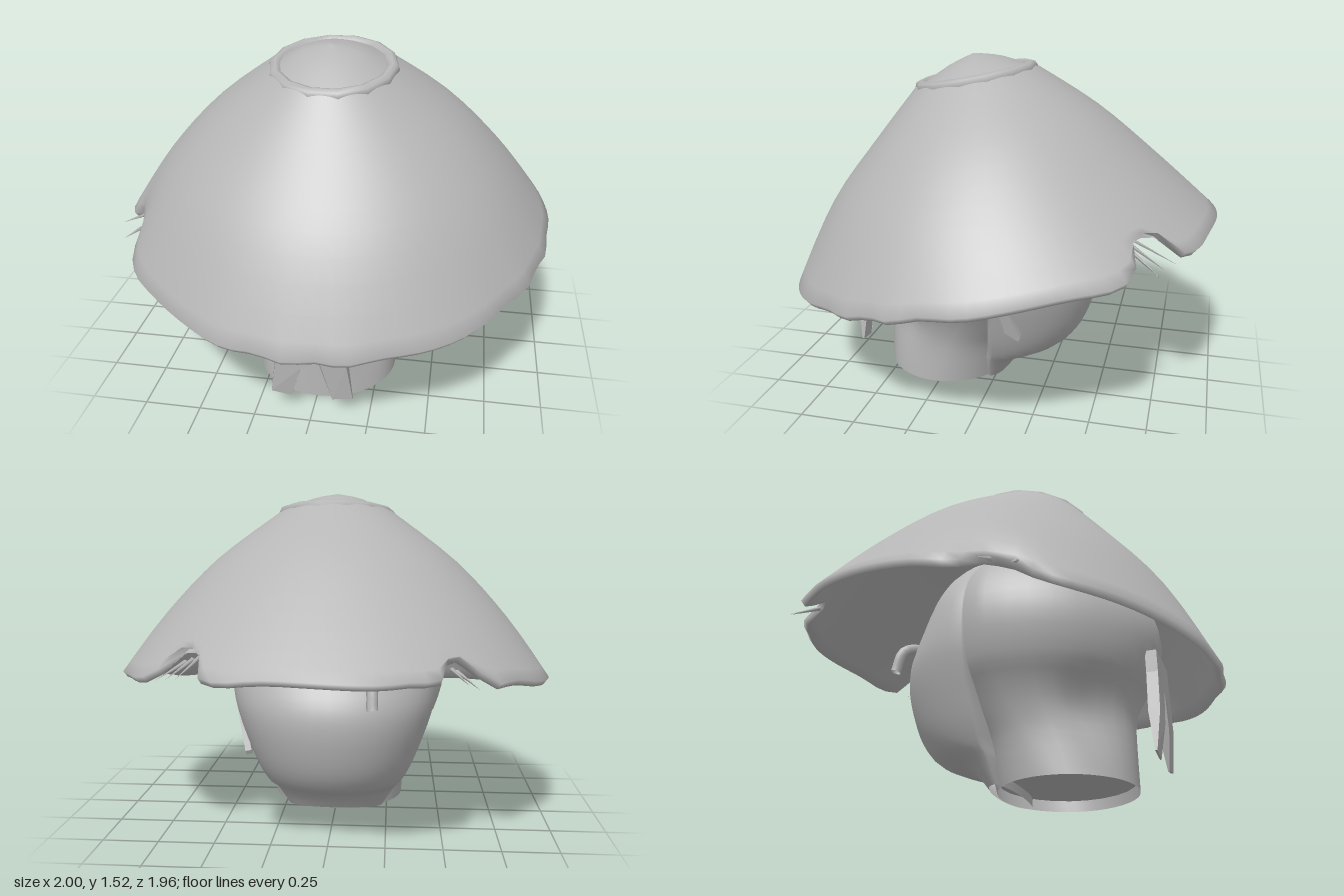
import * as THREE from 'three';

const grey = new THREE.MeshStandardMaterial({ color: 0xb6b6b6, side: THREE.DoubleSide });
grey.name = 'plain grey';

// Smooth a list of number rows by Catmull-Rom interpolation
function refine(rows, n) {
  const out = [];
  for (let i = 0; i < rows.length - 1; i++) {
    const [p, q, r, s] = [-1, 0, 1, 2].map(k => rows[Math.min(Math.max(i + k, 0), rows.length - 1)]);
    for (let k = 0; k < n; k++) {
      const t = k / n;
      out.push(q.map((b, m) => {
        const cubic = 3 * (b - r[m]) + s[m] - p[m];
        const square = 2 * p[m] - 5 * b + 4 * r[m] - s[m];
        return b + 0.5 * t * (r[m] - p[m] + t * (square + t * cubic));
      }));
    }
  }
  out.push(rows[rows.length - 1]);
  return out;
}

// Point on a tilted egg-shaped ring: row = [frontZ, frontY, backZ, backY, halfWidth, middleZ, sideY]
function ringPoint([zf, yf, zb, yb, rx, zc, ys], a) {
  const c = Math.cos(a);
  return [rx * Math.sin(a), ys + (c > 0 ? yf - ys : ys - yb) * c, zc + (c > 0 ? zf - zc : zc - zb) * c];
}

// Skin over rings listed from the top down; point(row, angle, index) places each vertex
function loft(rows, sides, point = ringPoint) {
  const pos = [], index = [];
  rows.forEach((row, i) => {
    for (let j = 0; j < sides; j++) {
      pos.push(...point(row, j / sides * Math.PI * 2, i));
      if (i === rows.length - 1) continue;
      const a = i * sides + j, b = i * sides + (j + 1) % sides;
      index.push(a, a + sides, b + sides, a, b + sides, b);
    }
  });
  const g = new THREE.BufferGeometry();
  g.setAttribute('position', new THREE.Float32BufferAttribute(pos, 3));
  g.setIndex(index);
  g.computeVertexNormals();
  return g;
}

export function createModel() {
  const model = new THREE.Group();
  const add = (name, geometry, parent = model) => {
    const mesh = new THREE.Mesh(geometry, grey);
    mesh.name = name;
    parent.add(mesh);
    return mesh;
  };

  // Wide tilted hat, with three torn notches and a ragged rim
  const hat = new THREE.Group();
  hat.name = 'strawHat';
  model.add(hat);
  const outer = refine([
    [0.40, 1.385, -0.12, 1.48, 0.27, 0.14, 1.425],
    [0.60, 1.125, -0.43, 1.285, 0.57, 0.09, 1.195],
    [0.80, 0.85, -0.72, 1.05, 0.80, 0.04, 0.95],
    [0.985, 0.475, -0.985, 0.82, 1.0, 0, 0.67],
  ], 4);
  const inner = outer.map(([zf, yf, zb, yb, rx, zc, ys]) =>
    [zf - 0.02, yf - 0.025, zb + 0.02, yb - 0.025, rx - 0.02, zc, ys - 0.025]).reverse();
  const notches = [[2.5, 0.14, 0.11], [-2.54, 0.09, 0.1], [-1.25, 0.09, 0.12]];
  const last = outer.length - 1;
  const tornPoint = (row, a, i) => {
    const level = i <= last ? i : 2 * last + 1 - i;
    const p = ringPoint(row, a);
    const edge = Math.max(0, (level - last + 4) / 4) ** 2;
    let cut = 0.006 * (1 + Math.sin(a * 17 + Math.sin(a * 5) * 2)) * edge;
    for (const [at, depth, width] of notches) {
      const d = Math.atan2(Math.sin(a - at), Math.cos(a - at)) / width;
      cut += depth * Math.exp(-(d ** 4)) * edge;
    }
    return [p[0] * (1 - cut), p[1] + cut * 0.9, p[2] * (1 - cut)];
  };
  add('hatShell', loft([...outer, ...inner], 90, tornPoint), hat);

  // Low crown and the rolled band around it
  add('hatCrown', loft(refine([
    [0.15, 1.52, 0.13, 1.52, 0.001, 0.14, 1.52],
    [0.26, 1.465, 0.01, 1.505, 0.13, 0.14, 1.49],
    [0.38, 1.38, -0.10, 1.47, 0.25, 0.14, 1.42],
  ], 3), 32), hat);
  const band = add('crownBand', new THREE.TorusGeometry(0.256, 0.03, 8, 14), hat);
  band.position.set(0.005, 1.415, 0.137);
  band.rotation.x = Math.PI / 2 + 0.19;

  // Loose straws sticking out of the notches: base, then tip
  for (const [from, to] of [
    [[0.50, 0.86, -0.66], [0.56, 0.80, -0.83]], [[0.53, 0.85, -0.65], [0.61, 0.79, -0.79]],
    [[0.56, 0.84, -0.65], [0.66, 0.78, -0.77]], [[-0.50, 0.84, -0.74], [-0.56, 0.80, -0.86]],
    [[-0.52, 0.83, -0.73], [-0.60, 0.78, -0.83]], [[-0.87, 0.69, 0.25], [-1.0, 0.63, 0.24]],
    [[-0.86, 0.67, 0.35], [-0.95, 0.61, 0.36]],
  ]) {
    const a = new THREE.Vector3(...from), b = new THREE.Vector3(...to);
    const dir = b.clone().sub(a);
    const straw = add('looseStraw', new THREE.ConeGeometry(0.009, dir.length(), 4), hat);
    straw.position.copy(a).add(b).multiplyScalar(0.5);
    straw.quaternion.setFromUnitVectors(new THREE.Vector3(0, 1, 0), dir.normalize());
  }

  // Head and hair: level rows of [y, frontZ, backZ, halfWidth, middleZ]
  const level = rows => refine(rows.map(([y, zf, zb, rx, zc]) => [zf, y, zb, y, rx, zc, y]), 3);
  const facePoint = (row, a) => {
    const p = ringPoint(row, a);
    // Sunken cheeks either side of the face
    const turn = (Math.acos(Math.cos(a)) - 0.8) / 0.3;
    const rise = (p[1] - 0.28) / 0.14;
    const dent = 0.05 * Math.exp(-(turn ** 2 + rise ** 2));
    return [p[0] * (1 - dent), p[1], p[2] - dent];
  };
  add('head', loft(level([
    [1.17, 0.13, 0.11, 0.001, 0.12], [1.11, 0.36, -0.04, 0.24, 0.12], [0.98, 0.56, -0.14, 0.41, 0.1],
    [0.82, 0.68, -0.2, 0.50, 0.08], [0.66, 0.72, -0.22, 0.52, 0.08], [0.50, 0.68, -0.22, 0.48, 0.08],
    [0.40, 0.62, -0.2, 0.42, 0.1], [0.30, 0.585, -0.16, 0.37, 0.14], [0.18, 0.58, -0.08, 0.335, 0.2],
    [0, 0.58, -0.03, 0.325, 0.27],
  ]), 40, facePoint));
  add('hair', loft(level([
    [1.16, -0.02, -0.06, 0.001, -0.04], [1.1, 0.02, -0.16, 0.2, -0.04], [0.97, 0.03, -0.27, 0.36, -0.04],
    [0.84, 0.03, -0.33, 0.45, -0.04], [0.72, 0.03, -0.38, 0.48, -0.04], [0.60, 0.03, -0.44, 0.48, -0.04],
    [0.50, 0.03, -0.455, 0.46, -0.04], [0.38, 0.03, -0.435, 0.42, -0.04], [0.26, 0.04, -0.39, 0.375, -0.03],
    [0.17, 0.05, -0.31, 0.33, -0.02], [0.11, 0.06, -0.14, 0.29, 0], [0.01, 0.06, -0.05, 0.23, 0.02],
  ]), 40));

  // Recessed plate closing the neck
  const base = add('neckPlate', new THREE.CircleGeometry(1, 24));
  base.scale.set(0.32, 0.3, 1);
  base.position.set(0, 0.05, 0.27);
  base.rotation.x = Math.PI / 2;

  // Ribbon ends hanging in front, thinning towards the tip
  for (const side of [-1, 1]) {
    const shape = new THREE.Shape([[0, 0.56], [0.13, 0.56], [0.13, 0.46], [0.155, 0.28], [0.18, 0.10],
      [0.09, 0.085], [0.045, 0.25], [0, 0.42]].map(([x, y]) => new THREE.Vector2(x * side, y)));
    const geometry = new THREE.ExtrudeGeometry(shape, { depth: 0.05, bevelEnabled: false });
    const p = geometry.attributes.position;
    for (let i = 0; i < p.count; i++) {
      const taper = Math.min(1, (p.getY(i) - 0.06) / 0.2);
      p.setZ(i, 0.695 + (p.getZ(i) - 0.025) * taper);
    }
    geometry.computeVertexNormals();
    add('ribbonEnd', geometry);
  }

  // Pointed lock of hair lying against the left cheek
  const lock = new THREE.Shape([[0.04, 0.68], [0.10, 0.36], [0.16, 0.32], [0.17, 0.34], [0.09, 0.56], [0.05, 0.68]]
    .map(([x, y]) => new THREE.Vector2(x, y)));
  const lockMesh = add('sideLock', new THREE.ExtrudeGeometry(lock, { depth: 0.03, bevelEnabled: false }));
  lockMesh.position.x = 0.305;
  lockMesh.rotation.set(0, Math.PI / 2, -0.24, 'ZYX');

  // Bent strand at the back of the head
  const strand = [[0.06, 0.73, -0.37], [-0.1, 0.75, -0.42], [-0.18, 0.71, -0.47], [-0.19, 0.61, -0.5]];
  add('backStrand', new THREE.TubeGeometry(
    new THREE.CatmullRomCurve3(strand.map(p => new THREE.Vector3(...p))), 14, 0.025, 8));

  return model;
}
